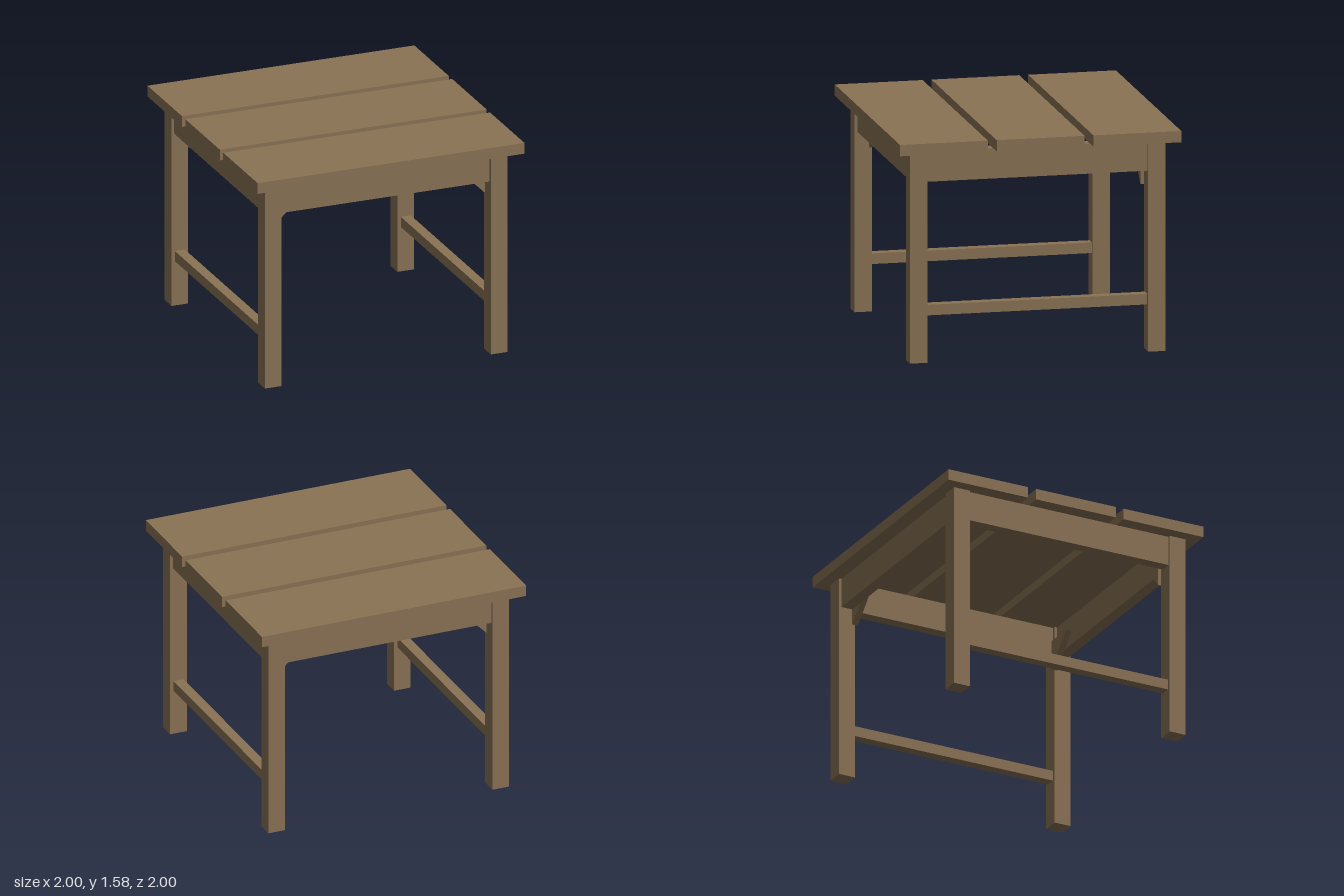
import * as THREE from 'three';

export function createModel() {
  const model = new THREE.Group();
  model.name = 'table';
  const wood = new THREE.MeshStandardMaterial({ color: 0x8b7355 });
  wood.name = 'brown wood';

  const LEG = 0.125, LEG_POS = 0.847, LEG_TOP = 1.495;
  const INNER = LEG_POS - LEG / 2; // inner face of the legs

  function add(name, geometry, x, y, z) {
    const mesh = new THREE.Mesh(geometry, wood);
    mesh.name = name;
    mesh.position.set(x, y, z);
    model.add(mesh);
    return mesh;
  }
  const box = (name, w, h, d, x, y, z) =>
    add(name, new THREE.BoxGeometry(w, h, d), x, y, z);

  // Three planks with gaps between them
  for (const z of [-0.6875, 0, 0.6875])
    box('topPlank', 2, 0.08, 0.625, 0, LEG_TOP + 0.04, z);

  // Triangular corner gusset, right angle at the origin
  const size = 0.215, thick = 0.045;
  const triangle = new THREE.Shape([
    new THREE.Vector2(0, 0),
    new THREE.Vector2(0, -size),
    new THREE.Vector2(size, 0),
  ]);
  const gusset = new THREE.ExtrudeGeometry(triangle, { depth: thick, bevelEnabled: false });
  gusset.translate(0, 0, -thick / 2);

  for (const s of [-1, 1]) {
    // Aprons, set back slightly from the leg faces
    box('endApron', 0.085, 0.215, INNER * 2, s * LEG_POS, LEG_TOP - 0.1075, 0);
    box('longApron', INNER * 2, 0.215, 0.085, 0, LEG_TOP - 0.1075, s * LEG_POS);
    // Low side stretcher
    box('stretcher', 0.075, 0.075, INNER * 2, s * LEG_POS, 0.368, 0);

    for (const t of [-1, 1]) {
      box('leg', LEG, LEG_TOP, LEG, s * LEG_POS, LEG_TOP / 2, t * LEG_POS);
      // Gussets sit against the inside of the long aprons
      const brace = add('cornerBrace', gusset, s * INNER, 1.38, t * (LEG_POS - 0.0425 - thick / 2));
      if (s > 0) brace.rotation.y = Math.PI;
    }
  }
  return model;
}
